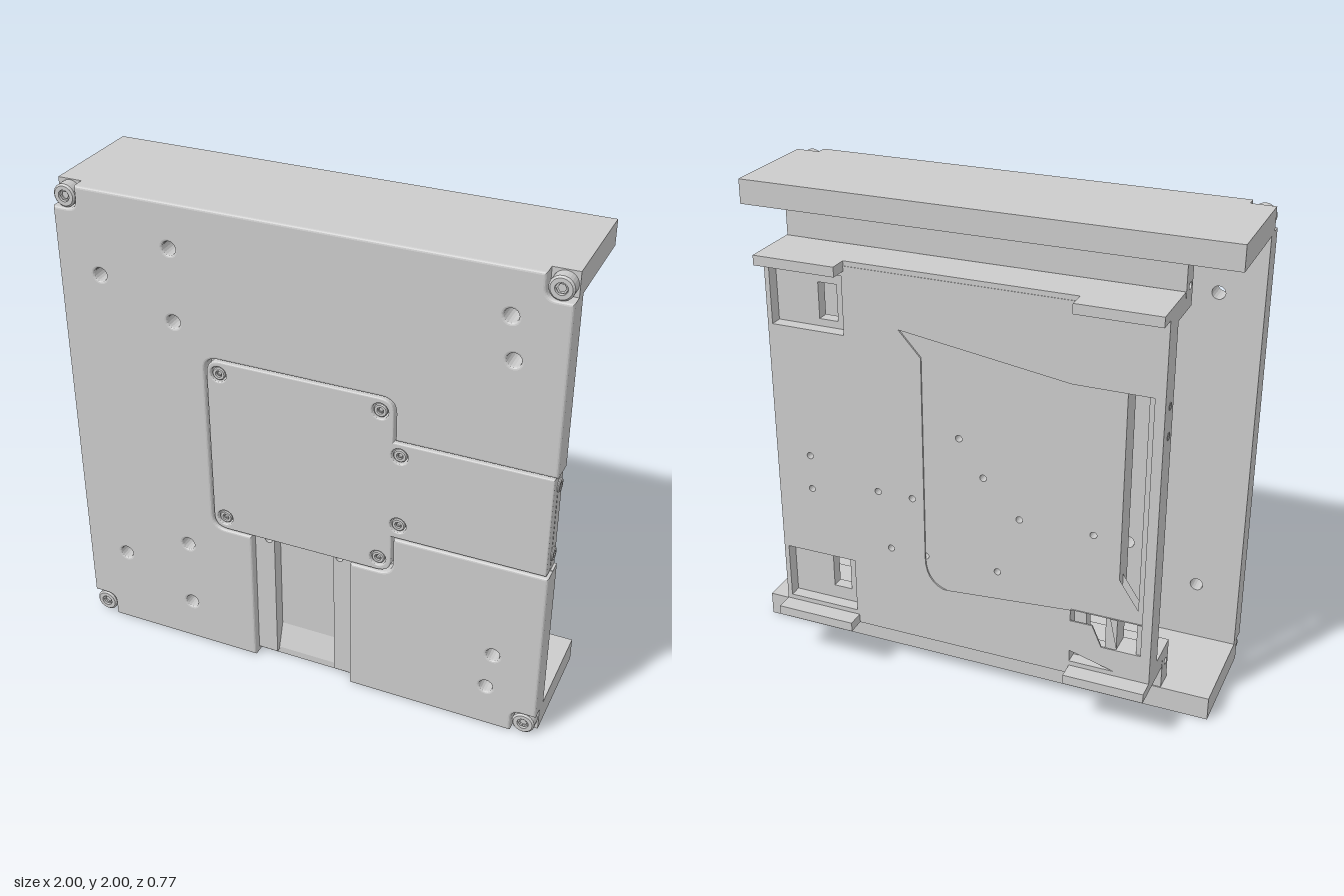
import * as THREE from 'three';

const V = (x, y) => new THREE.Vector2(x, y);

export function createModel() {
  const model = new THREE.Group();
  const mat = new THREE.MeshStandardMaterial({ color: 0xcccccc, side: THREE.DoubleSide });

  const add = (name, geo, parent = model) => {
    const m = new THREE.Mesh(geo, mat);
    m.name = name;
    parent.add(m);
    return m;
  };
  const box = (name, x0, x1, y0, y1, z0, z1) => add(name,
    new THREE.BoxGeometry(x1 - x0, y1 - y0, z1 - z0)
      .translate((x0 + x1) / 2, (y0 + y1) / 2, (z0 + z1) / 2));
  const poly = pts => new THREE.Shape(pts.map(p => V(p[0], p[1])));
  const rect = (x0, x1, y0, y1) => poly([[x0, y0], [x1, y0], [x1, y1], [x0, y1]]);
  const circle = (x, y, r) => new THREE.Path().absarc(x, y, r, 0, Math.PI * 2, true);
  // Polygon whose corners carry an optional rounding radius as third value
  const rounded = pts => {
    const s = new THREE.Shape();
    pts.forEach((p, i) => {
      const c = V(p[0], p[1]), r = p[2] || 0;
      const toward = q => c.clone().add(V(q[0], q[1]).sub(c).setLength(r));
      const a = toward(pts[(i + pts.length - 1) % pts.length]);
      const b = toward(pts[(i + 1) % pts.length]);
      if (i) s.lineTo(a.x, a.y); else s.moveTo(a.x, a.y);
      if (r) s.quadraticCurveTo(c.x, c.y, b.x, b.y);
    });
    s.closePath();
    return s;
  };
  // Flat plate between two depths, with holes and an optional softened edge
  const plate = (name, shape, z0, z1, holes = [], bevel = 0) => {
    shape.holes.push(...holes);
    const geo = new THREE.ExtrudeGeometry(shape, {
      depth: z1 - z0 - 2 * bevel, bevelEnabled: bevel > 0, bevelThickness: bevel,
      bevelSize: bevel, bevelOffset: -bevel, bevelSegments: 3, curveSegments: 8,
    });
    return add(name, geo.translate(0, 0, z0 + bevel));
  };
  // Socket-head screw, head facing +z at the given point
  const screw = (name, x, y, z, r, h) => {
    const g = new THREE.Group();
    g.name = name;
    const profile = [[0, -h * 0.5], [r * 0.5, -h * 0.5], [r * 0.5, 0], [r * 0.85, 0], [r, -r * 0.15], [r, -h]];
    const head = new THREE.LatheGeometry(profile.map(p => V(p[0], p[1])).reverse(), 24).toNonIndexed();
    head.computeVertexNormals();
    add('screwHead', head.rotateX(Math.PI / 2), g);
    add('hexSocket', new THREE.TorusGeometry(r * 0.42, r * 0.1, 4, 6).translate(0, 0, -h * 0.2), g);
    g.position.set(x, y, z);
    model.add(g);
    return g;
  };

  // ---- Front housing ----
  const gap = 0.008;
  const mountHoles = [[-0.82, 1.655], [0.81, 1.655], [-0.82, 0.355], [0.81, 0.355],
    [-0.515, 1.82], [0.79, 1.82], [-0.515, 1.52], [-0.515, 0.49], [-0.515, 0.19], [0.79, 0.19]];
  const holesFor = test => mountHoles.filter(test).map(p => circle(p[0], p[1], 0.027));
  const pinHoles = () => [-0.16, 0.15].map(x => circle(x, 0.595, 0.015));
  const portWindow = () => rect(0.84, 0.96, 0.87, 1.13);

  // Inner layer: side step for the cover arm, port window, centre channel
  plate('housingBase',
    poly([[-1, 0], [-0.135, 0], [-0.135, 0.62], [0.125, 0.62], [0.125, 0], [1, 0],
      [1, 0.785], [0.99, 0.785], [0.99, 1.22], [1, 1.22], [1, 2], [-1, 2]]),
    0.28, 0.33, [...holesFor(() => true), ...pinHoles(), portWindow()]);
  // Outer layer, wrapped around the cover and notched at the corner screws
  const n = 0.9;
  plate('frontFace', rounded([
    [-n, 0], [-0.22, 0], [-0.22, 0.62 - gap], [-0.385 - gap, 0.62 - gap, 0.06],
    [-0.385 - gap, 1.39 + gap, 0.06], [0.38 + gap, 1.39 + gap, 0.06], [0.38 + gap, 1.215 + gap],
    [1, 1.215 + gap], [1, 1.905], [n, 1.905, 0.04], [n, 2], [-n, 2], [-n, 1.905, 0.04],
    [-1, 1.905], [-1, 0.1], [-n, 0.1, 0.04]]),
  0.31, 0.385, holesFor(p => p[0] < 0 || p[1] > 1), 0.01);
  plate('frontFaceLower', rounded([
    [0.21, 0], [n, 0], [n, 0.1, 0.04], [1, 0.1], [1, 0.79 - gap], [0.38 + gap, 0.79 - gap],
    [0.38 + gap, 0.62 - gap, 0.06], [0.21, 0.62 - gap]]),
  0.31, 0.385, holesFor(p => p[0] > 0 && p[1] < 1), 0.01);

  // Top and bottom walls
  box('topWall', -1, 1, 1.9, 2, -0.13, 0.33);
  box('bottomWall', -1, 1, 0, 0.1, -0.13, 0.3);
  box('bottomWallLip', -1, -0.135, 0, 0.1, 0.28, 0.33);
  box('bottomWallLip', 0.125, 1, 0, 0.1, 0.28, 0.33);

  // Cable channel: side rails, recessed floor and sloped exit
  plate('channelRail', rect(-0.22, -0.135, 0.02, 0.62), 0.32, 0.35, [circle(-0.16, 0.595, 0.015)]);
  plate('channelRail', rect(0.125, 0.21, 0.02, 0.62), 0.32, 0.35, [circle(0.15, 0.595, 0.015)]);
  box('channelFloor', -0.135, 0.125, 0.03, 0.62, 0.28, 0.295);
  const ramp = new THREE.ExtrudeGeometry(poly([[-0.29, 0], [-0.33, 0], [-0.33, 0.03], [-0.29, 0.15]]),
    { depth: 0.26, bevelEnabled: false });
  add('channelRamp', ramp.rotateY(Math.PI / 2).translate(-0.135, 0, 0));

  // Inlaid cover with side arm
  const coverScrews = [[-0.335, 1.335], [0.325, 1.335], [-0.335, 0.675], [0.325, 0.675], [0.405, 1.16], [0.405, 0.85]];
  plate('cover', rounded([
    [-0.385, 0.62, 0.06], [0.38, 0.62, 0.06], [0.38, 0.79], [0.99, 0.79], [0.99, 1.215],
    [0.38, 1.215], [0.38, 1.39, 0.06], [-0.385, 1.39, 0.06]]),
  0.328, 0.384, coverScrews.map(p => circle(p[0], p[1], 0.033)), 0.006);
  coverScrews.forEach(p => screw('coverScrew', p[0], p[1], 0.38, 0.027, 0.04));
  for (const y of [0.855, 1.16]) screw('sideScrew', 0.998, y, 0.32, 0.028, 0.015).rotation.y = Math.PI / 2;

  // Corner screws
  for (const x of [-0.95, 0.95])
    for (const y of [0.05, 1.95]) screw('cornerScrew', x, y, 0.38, 0.046, 0.05);

  // ---- Rear mounting frame ----
  const W = 0.8;
  for (const up of [true, false]) {
    const Y = y => (up ? y : 2 - y);
    const span = (name, x0, x1, a, b, z0, z1) =>
      box(name, x0, x1, Math.min(Y(a), Y(b)), Math.max(Y(a), Y(b)), z0, z1);
    // Neck joining the housing wall, pierced lengthwise by a pin bore
    const neck = poly([[0.045, Y(1.72)], [0.125, Y(1.72)], [0.125, Y(1.9)], [0.045, Y(1.9)]]);
    neck.holes.push(circle(0.075, Y(1.805), 0.015));
    add(up ? 'upperNeck' : 'lowerNeck',
      new THREE.ExtrudeGeometry(neck, { depth: 2 * W, bevelEnabled: false })
        .rotateY(Math.PI / 2).translate(-W, 0, 0));
    span('bracket', -W, W, 1.72, 1.77, -0.21, -0.12);
    span('bracketFlange', -W, W, 1.765, 1.8, -0.31, -0.13);
    // Rear lips at both ends
    span('rearLip', -W, -0.47, 1.76, 1.8, -0.385, -0.3);
    span('rearLip', 0.46, W, 1.76, 1.8, -0.385, -0.3);
  }

  // Back panel layers: side slot, corner pockets and small holes
  const slot = () => rect(-0.74, -0.66, 0.36, 1.46);
  const small = () => [[0.65, 0.95], [0.3, 0.6], [0.2, 0.85], [0, 1.15], [-0.1, 1], [-0.25, 0.85],
    [-0.55, 0.85], [0.65, 0.8], [0.35, 0.85], [-0.16, 0.595], [0.15, 0.595]]
    .map(p => circle(p[0], p[1], 0.014));
  const corners = (x0, x1, y0, y1, all = true) => [
    rect(x0, x1, y0, y1), rect(x0, x1, 2 - y1, 2 - y0), rect(-x1, -x0, 2 - y1, 2 - y0),
    ...(all ? [rect(-x1, -x0, y0, y1)] : [])];
  const outline = () => rect(-W, W, 0.22, 1.78);
  plate('panelInner', outline(), -0.26, -0.21, [slot(), ...small(), ...corners(0.52, 0.6, 1.53, 1.68)]);
  plate('panelOuter', outline(), -0.305, -0.26, [slot(), ...small(), ...corners(0.47, 0.78, 1.5, 1.74, false)]);
  const recess = rounded([[0.15, 0.45, 0.14], [0.15, 1.46], [0.24, 1.56], [-0.45, 1.46], [-0.76, 1.46], [-0.76, 0.36], [-0.6, 0.36], [-0.56, 0.45]]);
  const outside = small().filter((h, i) => [0, 1, 2, 7, 8].includes(i));
  plate('panelSkin', outline(), -0.312, -0.305, [recess, ...outside, ...corners(0.47, 0.78, 1.5, 1.74, false)]);

  // Bores on the panel's side edges
  for (const x of [-W, W])
    for (const y of [1.29, 1.41])
      add('sideBore', new THREE.TorusGeometry(0.014, 0.002, 6, 20).rotateY(Math.PI / 2).translate(x, y, -0.25));

  return model;
}
